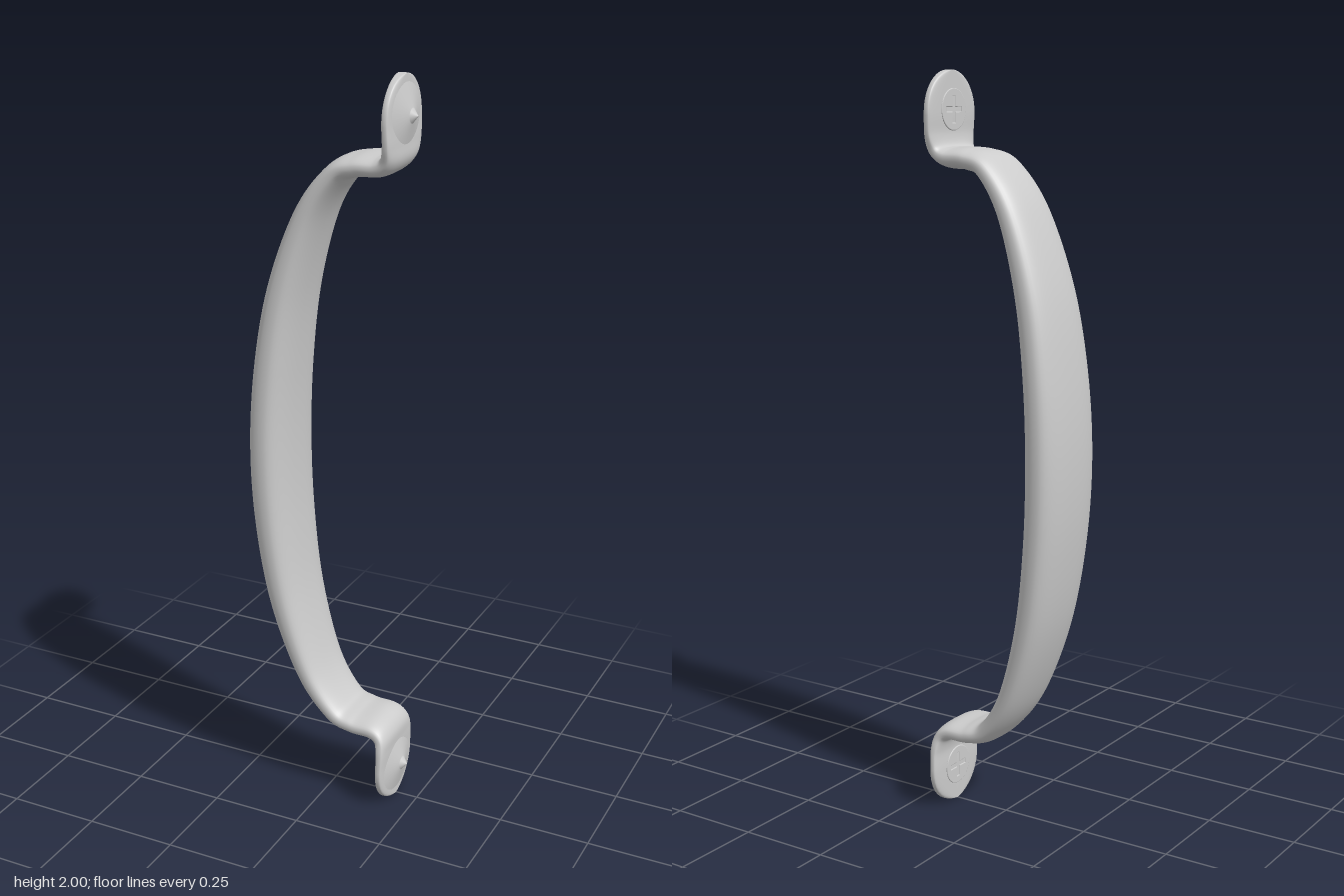
import * as THREE from 'three';

const material = new THREE.MeshStandardMaterial({ color: 0xcccccc });
const PLATE_Y = 1.894, PLATE_R = 0.106, SCREW_Y = 1.9;

// Upper half of the handle: x, y, half width, thickness, squareness
const HALF = [
  [0.175, 2.0, 0.106, 0.024, 4],
  [0.175, 1.894, 0.106, 0.026, 4],
  [0.176, 1.835, 0.102, 0.028, 4],
  [0.168, 1.797, 0.093, 0.042, 3],
  [0.14, 1.779, 0.09, 0.054, 2.6],
  [0.08, 1.775, 0.09, 0.058, 2.5],
  [0.02, 1.75, 0.091, 0.062, 2.5],
  [-0.055, 1.64, 0.1, 0.076, 2.5],
  [-0.12, 1.44, 0.113, 0.095, 2.5],
  [-0.154, 1.22, 0.123, 0.106, 2.5],
  [-0.165, 1.0, 0.127, 0.11, 2.5],
];

// Strap and both end plates as one swept, rounded bar
function barGeometry() {
  const mirrored = HALF.slice(0, -1).reverse().map(([x, y, ...rest]) => [x, 2 - y, ...rest]);
  const rows = [...HALF, ...mirrored];
  const curve = (f) => new THREE.CatmullRomCurve3(rows.map(f), false, 'catmullrom', 0.5);
  const path = curve((r) => new THREE.Vector3(r[0], r[1], 0));
  const section = curve((r) => new THREE.Vector3(r[2], r[3], r[4]));

  const spans = rows.length - 1, steps = 10, sides = 40;
  const params = [];
  for (let i = 0; i < spans; i++) {
    for (let k = 0; k < steps; k++) {
      const t = k / steps;
      // Crowd the samples towards the rounded tips
      const e = i === 0 ? 1 - Math.cos(t * Math.PI / 2)
        : i === spans - 1 ? Math.sin(t * Math.PI / 2) : t;
      params.push((i + e) / spans);
    }
  }
  params.push(1);

  const power = (v, n) => Math.sign(v) * Math.pow(Math.abs(v), 2 / n);
  const positions = [], index = [];
  params.forEach((u, i) => {
    const p = path.getPoint(u), s = section.getPoint(u);
    const d = path.getPoint(Math.min(1, u + 0.002)).sub(path.getPoint(Math.max(0, u - 0.002))).normalize();
    let width = s.x;
    const past = Math.abs(p.y - 1) - (PLATE_Y - 1);
    if (past > 0) width = Math.sqrt(Math.max(0, PLATE_R ** 2 - past ** 2));
    for (let j = 0; j < sides; j++) {
      const a = (j / sides) * Math.PI * 2;
      const n = power(Math.cos(a), s.z) * s.y / 2;
      positions.push(p.x + d.y * n, p.y - d.x * n, power(Math.sin(a), s.z) * width);
      if (i < params.length - 1) {
        const k = (j + 1) % sides, b = i * sides, c = b + sides;
        index.push(b + j, c + j, b + k, c + j, c + k, b + k);
      }
    }
  });
  const g = new THREE.BufferGeometry();
  g.setAttribute('position', new THREE.Float32BufferAttribute(positions, 3));
  g.setIndex(index);
  g.computeVertexNormals();
  return g;
}

// Round screw head with a cross-shaped slot, facing -x
function screwHeadGeometry() {
  const shape = new THREE.Shape().absarc(0, 0, 0.052, 0, Math.PI * 2);
  const l = 0.036, w = 0.008;
  const quarter = [[l, -w], [l, w], [w, w]];
  const cross = [];
  for (let q = 0; q < 4; q++) {
    const c = Math.round(Math.cos(q * Math.PI / 2)), s = Math.round(Math.sin(q * Math.PI / 2));
    for (const [x, y] of quarter) cross.push(new THREE.Vector2(x * c - y * s, x * s + y * c));
  }
  shape.holes.push(new THREE.Path(cross.reverse()));
  const g = new THREE.ExtrudeGeometry(shape, {
    depth: 0.004, bevelThickness: 0.002, bevelSize: 0.002, bevelSegments: 2, curveSegments: 32,
  });
  return g.rotateY(-Math.PI / 2);
}

// Shallow boss behind the plate ending in the screw point, facing +x
function screwTipGeometry() {
  const profile = [[0.092, 0.184], [0.02, 0.203], [0.018, 0.204], [0, 0.219]];
  const g = new THREE.LatheGeometry(profile.map(([r, x]) => new THREE.Vector2(r, x)), 32);
  return g.rotateZ(-Math.PI / 2);
}

export function createModel() {
  const model = new THREE.Group();
  model.name = 'pullHandle';
  const add = (geometry, name, x = 0, y = 0) => {
    const mesh = new THREE.Mesh(geometry, material);
    mesh.name = name;
    mesh.position.set(x, y, 0);
    model.add(mesh);
  };

  add(barGeometry(), 'handleBar');

  // One screw through each plate
  const head = screwHeadGeometry(), tip = screwTipGeometry();
  for (const [name, y] of [['upper', SCREW_Y], ['lower', 2 - SCREW_Y]]) {
    add(head, name + 'ScrewHead', 0.166, y);
    add(tip, name + 'ScrewTip', 0, y);
  }
  return model;
}
